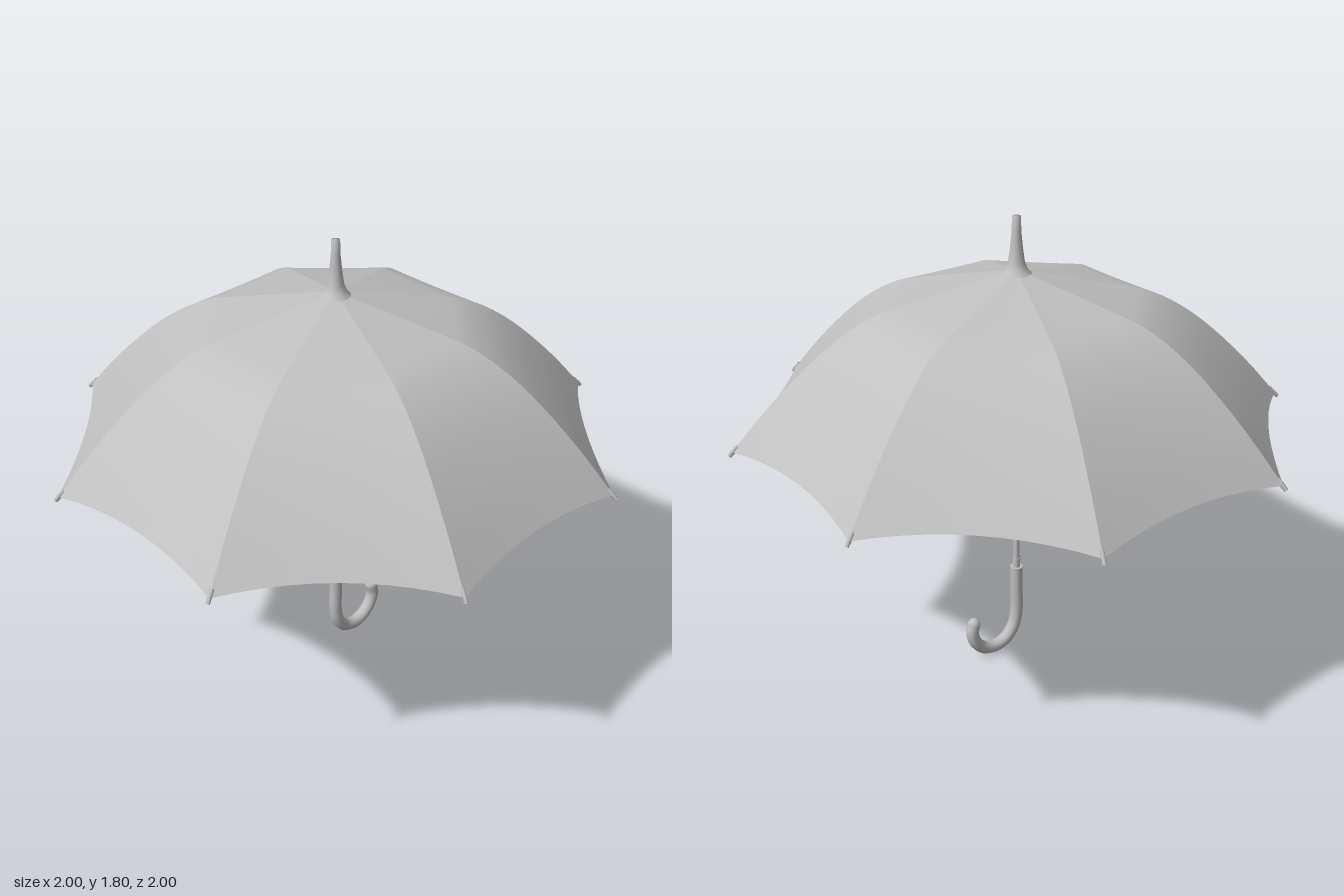
import * as THREE from 'three';

const SIDES = 8;
const HALF = Math.PI / SIDES;
const v2 = (x, y) => new THREE.Vector2(x, y);
const v3 = (x, y, z = 0) => new THREE.Vector3(x, y, z);

// Canopy profile: distance from axis to the panel chord, and height
const PROFILE = new THREE.CatmullRomCurve3([
  v3(0.02, 1.597), v3(0.2, 1.552), v3(0.4, 1.5), v3(0.47, 1.478), v3(0.56, 1.43),
  v3(0.66, 1.355), v3(0.76, 1.26), v3(0.87, 1.14), v3(0.983, 1.0),
]);

// One cloth gore facing +x, with a scalloped lower edge
function goreGeometry(rows = 20, cols = 10) {
  const pos = [], index = [];
  for (let r = 0; r <= rows; r++) {
    const t = r / rows;
    const p = PROFILE.getPoint(t);
    for (let c = 0; c <= cols; c++) {
      const s = (c / cols) * 2 - 1;
      const sag = 1 - s * s;
      pos.push(p.x - 0.04 * sag * t ** 3, p.y + 0.03 * sag * t ** 5 - 0.006 * sag * t * (1 - t), p.x * Math.tan(HALF) * s);
      if (r < rows && c < cols) {
        const a = r * (cols + 1) + c, b = a + cols + 1;
        index.push(a, a + 1, b, a + 1, b + 1, b);
      }
    }
  }
  const g = new THREE.BufferGeometry();
  g.setAttribute('position', new THREE.Float32BufferAttribute(pos, 3));
  g.setIndex(index);
  g.computeVertexNormals();
  return g;
}

const tube = (points, radius, segments = 20, sides = 6) =>
  new THREE.TubeGeometry(new THREE.CatmullRomCurve3(points), segments, radius, sides);

export function createModel() {
  const model = new THREE.Group();
  model.name = 'umbrella';
  const grey = new THREE.MeshStandardMaterial({ color: 0xc0c0c0, side: THREE.DoubleSide });
  grey.name = 'light grey';

  const add = (name, geometry, parent = model, x = 0, y = 0, z = 0) => {
    const mesh = new THREE.Mesh(geometry, grey);
    mesh.name = name;
    mesh.position.set(x, y, z);
    parent.add(mesh);
    return mesh;
  };

  // Canopy, ribs, stretchers and rib tips
  const gore = goreGeometry();
  const ribPoints = PROFILE.getPoints(14).map(p => v3(p.x / Math.cos(HALF), p.y - 0.009));
  const rib = tube(ribPoints, 0.006, 28, 5);
  const stretcher = tube([v3(0.025, 1.2), v3(0.18, 1.3), v3(0.38, 1.375), v3(0.62, 1.4)], 0.007, 14, 5);
  const tip = tube([v3(1.04, 1.022), v3(1.06, 1.003), v3(1.075, 0.985)], 0.008, 4, 6);
  const joint = new THREE.BoxGeometry(0.05, 0.022, 0.018);
  for (let i = 0; i < SIDES; i++) {
    const panel = add('canopyPanel', gore);
    panel.rotation.y = i * 2 * HALF;
    const frame = new THREE.Group();
    frame.name = 'ribFrame';
    frame.rotation.y = (2 * i + 1) * HALF;
    model.add(frame);
    add('rib', rib, frame);
    add('stretcher', stretcher, frame);
    add('stretcherJoint', joint, frame, 0.62, 1.4).rotation.z = -0.5;
    add('ribTip', tip, frame);
  }

  // Ferrule with flared collar
  add('ferrule', new THREE.LatheGeometry([
    v2(0.06, 1.585), v2(0.042, 1.603), v2(0.031, 1.63), v2(0.024, 1.68),
    v2(0.018, 1.74), v2(0.016, 1.8), v2(0, 1.8),
  ], 12));

  // Shaft, crown hub and sliding runner
  add('shaft', new THREE.CylinderGeometry(0.012, 0.012, 1.27, 10), model, 0, 0.965);
  add('crownHub', new THREE.CylinderGeometry(0.03, 0.022, 0.05, 10), model, 0, 1.56);
  add('runner', new THREE.LatheGeometry([
    v2(0.012, 1.08), v2(0.023, 1.08), v2(0.023, 1.16), v2(0.02, 1.165),
    v2(0.02, 1.18), v2(0.036, 1.185), v2(0.036, 1.215), v2(0.012, 1.22),
  ], 12));

  // Hooked handle with end caps
  add('handle', tube([
    v3(0, 0.36), v3(0, 0.27), v3(0, 0.16), v3(0.014, 0.095), v3(0.052, 0.046),
    v3(0.11, 0.027), v3(0.168, 0.043), v3(0.207, 0.085), v3(0.22, 0.13), v3(0.212, 0.168),
  ], 0.026, 48, 10));
  add('handleCollar', new THREE.CylinderGeometry(0.026, 0.026, 0.006, 10), model, 0, 0.358);
  add('handleEnd', new THREE.SphereGeometry(0.026, 10, 8), model, 0.212, 0.168);

  // Release catch
  add('catchSleeve', new THREE.CylinderGeometry(0.015, 0.015, 0.04, 10), model, 0, 0.38);
  const button = add('releaseButton', new THREE.BoxGeometry(0.024, 0.026, 0.02), model, -0.017, 0.388, 0.015);
  button.rotation.y = Math.PI / 4;

  return model;
}
